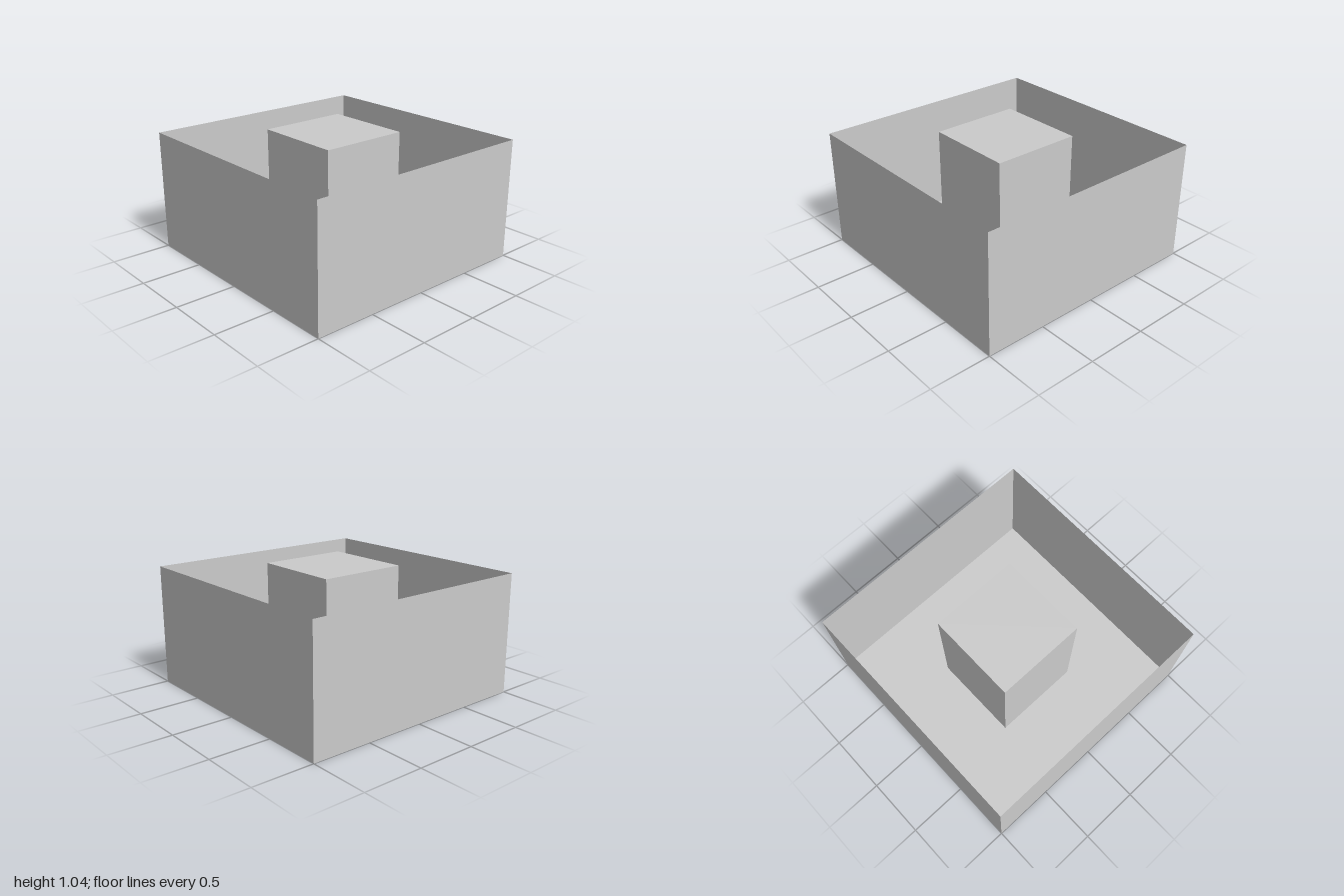
import * as THREE from 'three';

const SIZE = 2, WALL_HEIGHT = 1, BLOCK_WIDTH = 0.745, BLOCK_TOP = 1.045;

export function createModel() {
  const model = new THREE.Group();
  const sheet = new THREE.MeshStandardMaterial({ color: 0xcccccc, flatShading: true, side: THREE.DoubleSide });
  const solid = new THREE.MeshStandardMaterial({ color: 0xcccccc, flatShading: true });

  // Floor of the open tray
  const floor = new THREE.Mesh(new THREE.PlaneGeometry(SIZE, SIZE), sheet);
  floor.name = 'floor';
  floor.rotation.x = Math.PI / 2;
  model.add(floor);

  // Four paper-thin walls, turned around the centre
  ['frontWall', 'leftWall', 'backWall', 'rightWall'].forEach((name, i) => {
    const geometry = new THREE.PlaneGeometry(SIZE, WALL_HEIGHT);
    geometry.translate(0, WALL_HEIGHT / 2, SIZE / 2);
    const wall = new THREE.Mesh(geometry, sheet);
    wall.name = name;
    wall.rotation.y = i * Math.PI / 2;
    model.add(wall);
  });

  // Centre block, standing on the floor and rising just above the walls
  const gap = 0.002;
  const block = new THREE.Mesh(new THREE.BoxGeometry(BLOCK_WIDTH, BLOCK_TOP - gap, BLOCK_WIDTH), solid);
  block.name = 'centreBlock';
  block.position.y = (BLOCK_TOP + gap) / 2;
  model.add(block);

  return model;
}
